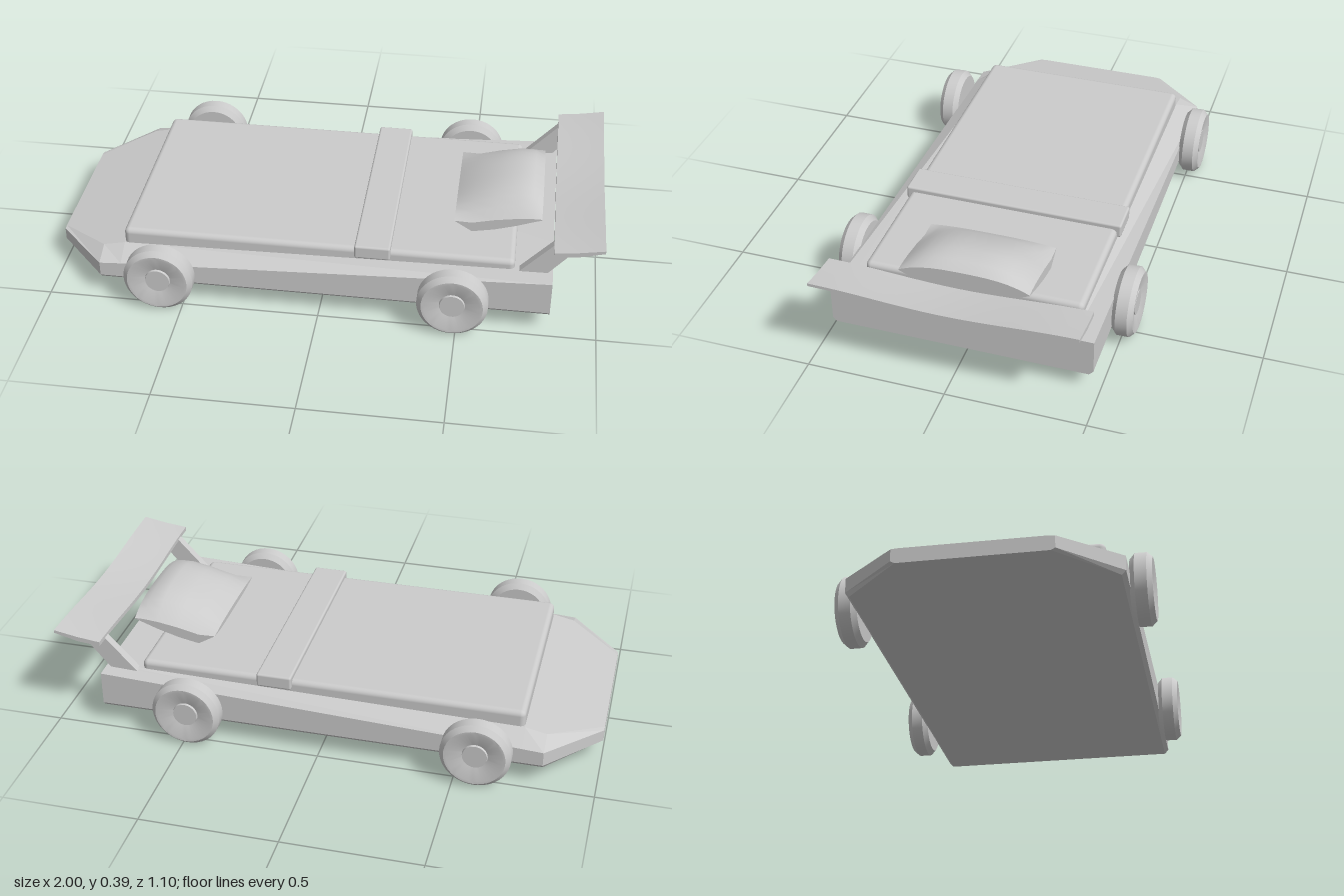
import * as THREE from 'three';
import { toCreasedNormals } from 'three/addons/utils/BufferGeometryUtils.js';
import { RoundedBoxGeometry } from 'three/addons/geometries/RoundedBoxGeometry.js';

const material = new THREE.MeshStandardMaterial({ color: 0xcccccc });

// Skin cross-sections running along x; each is { x, loop } with loop = [z, y] points
// ordered from -z over the top to +z and back, mirrored so point j pairs with n-1-j.
function loft(sections, crease) {
  const n = sections[0].loop.length;
  const positions = sections.flatMap(s => s.loop.flatMap(([z, y]) => [s.x, y, z]));
  const index = [];
  const quad = (a, b, c, d) => index.push(a, b, c, a, c, d);
  for (let i = 0; i < sections.length - 1; i++) {
    for (let j = 0; j < n; j++) {
      const k = (j + 1) % n;
      quad(i * n + j, i * n + k, (i + 1) * n + k, (i + 1) * n + j);
    }
  }
  const end = (sections.length - 1) * n;
  for (let j = 0; j < n / 2 - 1; j++) {
    quad(n - 1 - j, n - 2 - j, j + 1, j);
    quad(end + j, end + j + 1, end + n - 2 - j, end + n - 1 - j);
  }
  const geo = new THREE.BufferGeometry();
  geo.setAttribute('position', new THREE.Float32BufferAttribute(positions, 3));
  geo.setIndex(index);
  return toCreasedNormals(geo, crease);
}

export function createModel() {
  const group = new THREE.Group();
  const add = (name, geo, x = 0, y = 0, z = 0) => {
    const mesh = new THREE.Mesh(geo, material);
    mesh.name = name;
    mesh.position.set(x, y, z);
    group.add(mesh);
    return mesh;
  };

  // Wedge-shaped chassis: x, outer half width, side edge height, deck half width, deck height
  const chassis = [
    [-1, 0.27, 0.13, 0.25, 0.132],
    [-0.81, 0.475, 0.14, 0.4, 0.17],
    [-0.73, 0.475, 0.145, 0.4, 0.187],
    [0.83, 0.475, 0.213, 0.4, 0.214],
  ].map(([x, w, side, deckW, deck]) => {
    const half = [[w - 0.015, x === -1 ? 0.078 : 0.07], [w, 0.086], [w, side], [deckW, deck]];
    return { x, loop: [...half.map(([z, y]) => [-z, y]), ...half.reverse()] };
  });
  add('chassis', loft(chassis, 0.1));

  // Mattress and the folded blanket band across it
  add('mattress', new RoundedBoxGeometry(1.425, 0.095, 0.8, 3, 0.02), -0.018, 0.198, 0);
  add('blanketBand', new RoundedBoxGeometry(0.13, 0.052, 0.83, 2, 0.008), 0.185, 0.238, 0);

  // Pillow: x, underside, rim and crown heights, and how far the lower corners curl up
  const steps = 12;
  const pillow = [
    [0.465, 0.275, 0.285, 0.295, 1],
    [0.53, 0.245, 0.283, 0.338, 0],
    [0.61, 0.256, 0.302, 0.368, 0.1],
    [0.69, 0.268, 0.315, 0.389, 0.35],
    [0.745, 0.276, 0.32, 0.382, 0.65],
    [0.78, 0.285, 0.32, 0.357, 0.9],
  ].map(([x, bottom, rim, crown, curl]) => {
    const top = [], under = [];
    for (let i = 0; i <= steps; i++) {
      const t = -1 + 2 * i / steps;
      top.push([t * 0.235, rim + (crown - rim) * (1 - Math.abs(t) ** 3)]);
      under.unshift([t * 0.235, bottom + (rim - bottom) * curl * t ** 4]);
    }
    return { x, loop: [...top, ...under] };
  });
  add('pillow', loft(pillow, 0.6));

  // Rear wing, sagging gently toward its middle
  const wing = [
    [0.825, 0.346, 0.33],
    [0.91, 0.356, 0.338],
    [1, 0.372, 0.361],
  ].map(([x, topY, underY]) => {
    const top = [], under = [];
    for (let i = 0; i <= 16; i++) {
      const t = -1 + i / 8;
      const sag = 0.01 * (1 + Math.cos(Math.PI * t));
      top.push([t * 0.47, topY - sag]);
      under.unshift([t * 0.47, underY - sag]);
    }
    return { x, loop: [...top, ...under] };
  });
  add('rearWing', loft(wing, 0.15));

  // Slanted wing struts
  const strutShape = new THREE.Shape([
    [0.7, 0.2], [0.8, 0.2], [0.92, 0.34], [0.83, 0.34],
  ].map(p => new THREE.Vector2(...p)));
  const strut = new THREE.ExtrudeGeometry(strutShape, { depth: 0.032, bevelEnabled: false });
  for (const z of [-0.42, 0.376]) add('wingStrut', strut, 0, 0, z);

  // Wheels: bevelled tread, dished face and round hub
  const wheelProfile = [
    [0, 0], [0.108, 0], [0.127, 0.018], [0.127, 0.06], [0.11, 0.078],
    [0.1, 0.078], [0.046, 0.062], [0.044, 0.07], [0, 0.07],
  ].map(p => new THREE.Vector2(...p));
  const wheel = toCreasedNormals(new THREE.LatheGeometry(wheelProfile, 40), 0.35);
  for (const x of [-0.578, 0.485]) {
    for (const side of [-1, 1]) {
      add('wheel', wheel, x, 0.13, side * 0.472).rotation.x = side * Math.PI / 2;
    }
  }

  return group;
}
